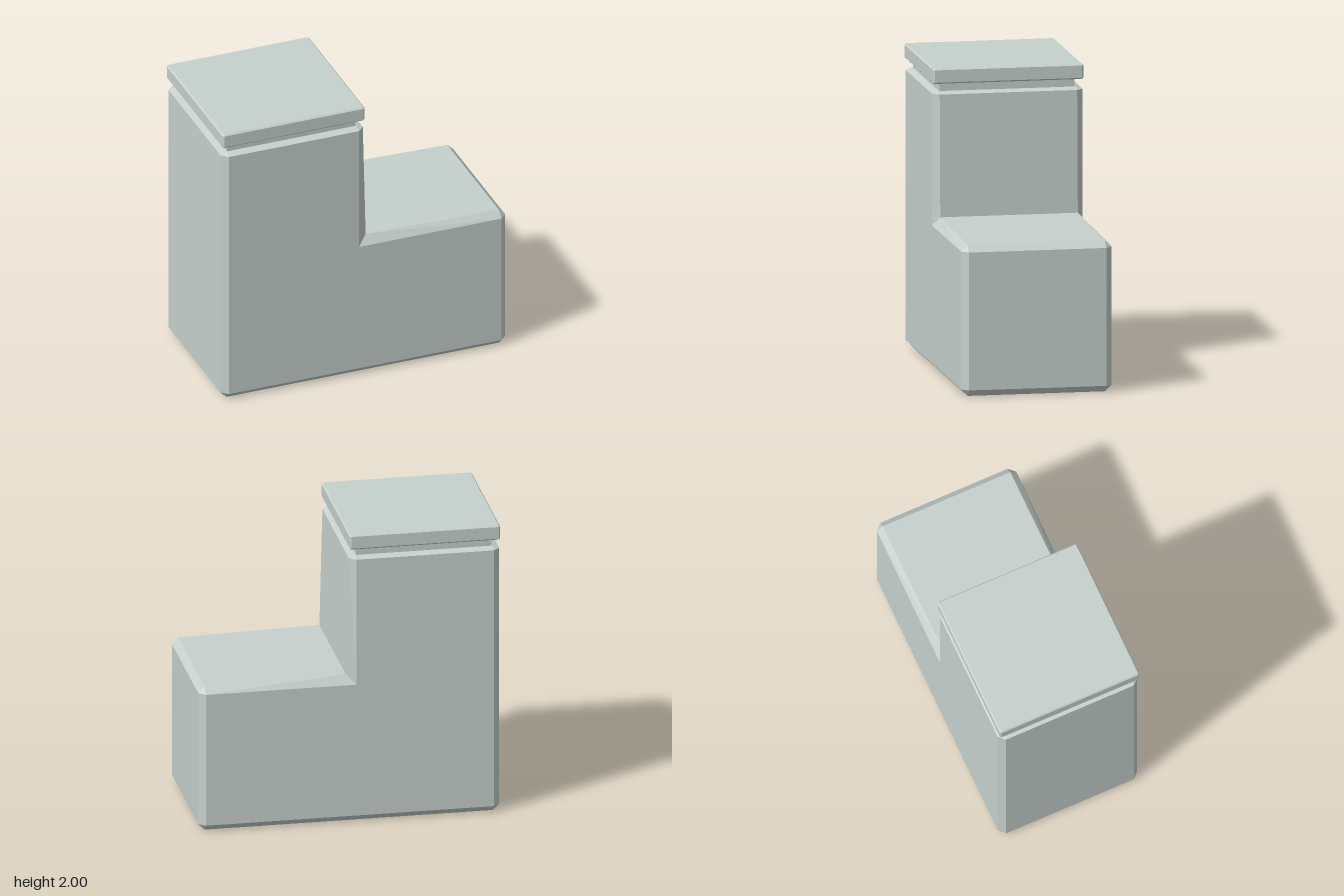
import * as THREE from 'three';

// Chamfered L-shaped body: each corner has a face point and the rim point(s) it bevels out to
const corners = [
  { face: [-0.957, 0.043], rim: [[-1, 0.043], [-0.957, 0]] },
  { face: [0.957, 0.043], rim: [[0.957, 0], [1, 0.043]] },
  { face: [0.957, 0.957], rim: [[1, 0.957], [0.957, 1]] },
  { face: [-0.043, 0.957], rim: [[0.02, 1.02]] },
  { face: [-0.043, 1.83], rim: [[0, 1.83], [-0.043, 1.845]] },
  { face: [-0.957, 1.83], rim: [[-0.957, 1.845], [-1, 1.83]] },
];

function bodyGeometry(faceZ, rimZ) {
  const pos = [];
  const tri = (a, b, c) => pos.push(...a, ...b, ...c);
  const quad = (a, b, c, d) => { tri(a, b, c); tri(a, c, d); };
  const outline = corners.map((c) => new THREE.Vector2(...c.face));
  const flats = THREE.ShapeUtils.triangulateShape(outline, []);

  // front and back: flat face, edge bevels and corner triangles
  for (const s of [1, -1]) {
    const F = (c) => [...c.face, s * faceZ];
    const R = (p) => [...p, s * rimZ];
    const put = (a, b, c) => (s > 0 ? tri(a, b, c) : tri(a, c, b));
    for (const t of flats) put(...t.map((i) => F(corners[i])));
    corners.forEach((c, i) => {
      const n = corners[(i + 1) % corners.length];
      const a = R(c.rim.at(-1)), b = R(n.rim[0]);
      put(F(c), a, b);
      put(F(c), b, F(n));
      if (c.rim.length > 1) put(F(c), R(c.rim[0]), R(c.rim[1]));
    });
  }

  // walls between the two rims
  const rim = corners.flatMap((c) => c.rim);
  rim.forEach((a, i) => {
    const b = rim[(i + 1) % rim.length];
    quad([...a, rimZ], [...a, -rimZ], [...b, -rimZ], [...b, rimZ]);
  });

  const g = new THREE.BufferGeometry();
  g.setAttribute('position', new THREE.Float32BufferAttribute(pos, 3));
  g.computeVertexNormals();
  return g;
}

// Square slab with small chamfers on every edge, lying flat and centred
function slabGeometry(half, height, bevel) {
  const h = half - bevel, k = h - bevel * 0.6;
  const pts = [[k, -h], [h, -k], [h, k], [k, h], [-k, h], [-h, k], [-h, -k], [-k, -h]];
  const g = new THREE.ExtrudeGeometry(new THREE.Shape(pts.map((p) => new THREE.Vector2(...p))), {
    depth: height - 2 * bevel, bevelEnabled: true, bevelThickness: bevel, bevelSize: bevel, bevelSegments: 1,
  });
  g.rotateX(-Math.PI / 2);
  g.translate(0, bevel - height / 2, 0);
  return g;
}

export function createModel() {
  const group = new THREE.Group();
  group.name = 'steppedBlock';
  const stone = new THREE.MeshStandardMaterial({ color: 0xc6d0cc });
  stone.name = 'pale grey green';

  const add = (name, geometry, x, y) => {
    const mesh = new THREE.Mesh(geometry, stone);
    mesh.name = name;
    mesh.position.set(x, y, 0);
    group.add(mesh);
  };

  add('body', bodyGeometry(0.5, 0.457), 0, 0);
  add('neck', new THREE.BoxGeometry(0.9, 0.09, 0.9), -0.5, 1.875);
  add('cap', slabGeometry(0.5, 0.1, 0.009), -0.5, 1.95);
  return group;
}
